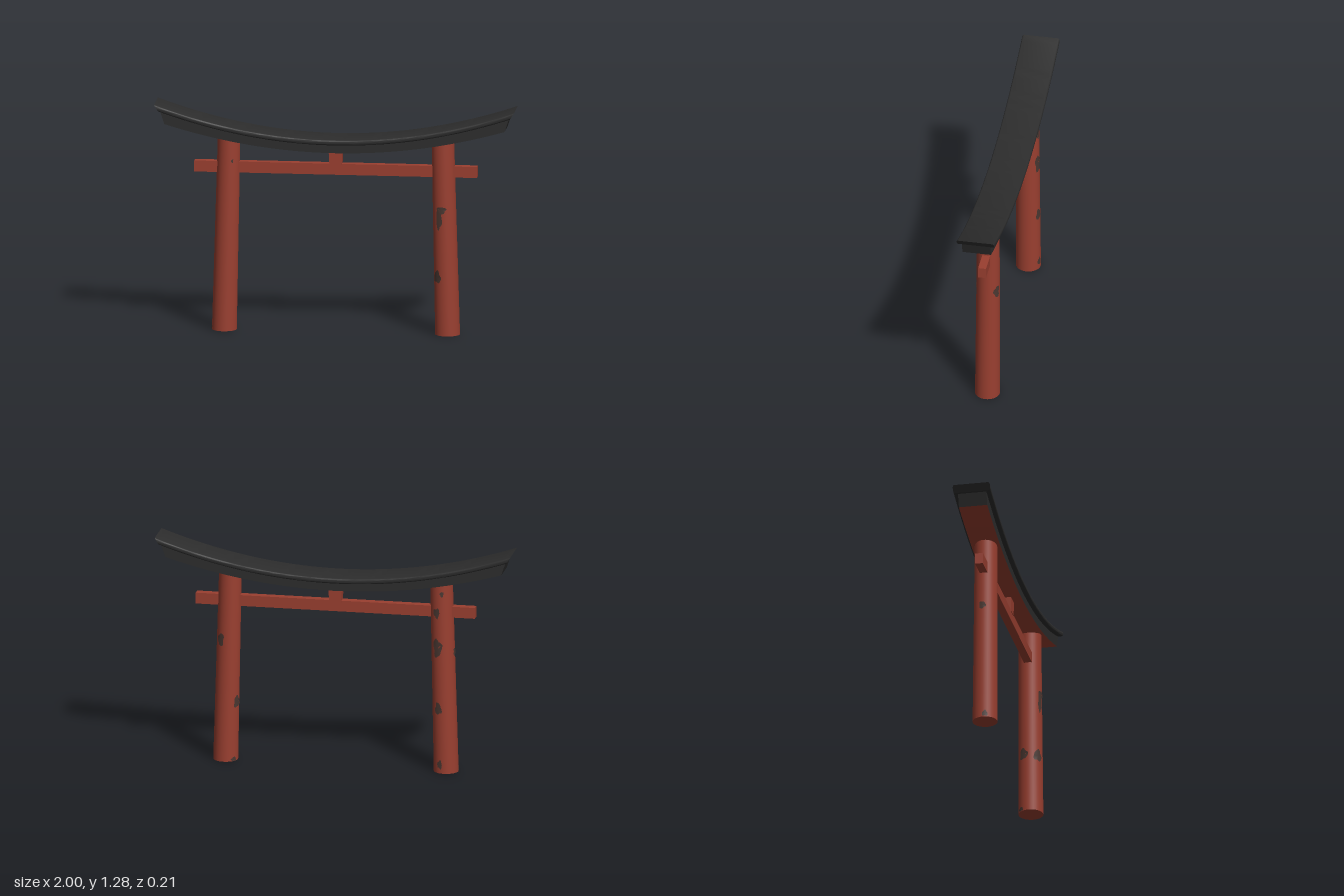
import * as THREE from 'three';
import { toCreasedNormals } from 'three/addons/utils/BufferGeometryUtils.js';

const red = new THREE.MeshStandardMaterial({ color: 0x9a3f30 });
red.name = 'red lacquer';
const black = new THREE.MeshStandardMaterial({ color: 0x2d2d2d });
black.name = 'black roof';
const worn = new THREE.MeshStandardMaterial({ color: 0x4a3832, side: THREE.DoubleSide });
worn.name = 'worn wood';

const RISE = 0.177; // upward sweep of the roof: y = base + RISE * x^2
const PILLAR_TOP = 1.1;
const pillarX = (y) => 0.62 - 0.024 * y;
const pillarR = (y) => 0.069 - 0.006 * y;

function add(parent, name, geometry, material) {
  const mesh = new THREE.Mesh(geometry, material);
  mesh.name = name;
  parent.add(mesh);
  return mesh;
}

// Move every vertex by a rule
function warp(geometry, rule) {
  const p = geometry.attributes.position;
  const v = new THREE.Vector3();
  for (let i = 0; i < p.count; i++) {
    v.fromBufferAttribute(p, i);
    rule(v);
    p.setXYZ(i, v.x, v.y, v.z);
  }
  geometry.computeVertexNormals();
  return geometry;
}

// Rounded slab swept along the curve, its ends leaning outward at the top
function roofCap() {
  const w = 0.105, h = 0.03, r = 0.012;
  const s = new THREE.Shape();
  s.moveTo(-w + r, -h);
  s.lineTo(w - r, -h);
  s.quadraticCurveTo(w, -h, w, -h + r);
  s.lineTo(w, -r);
  s.quadraticCurveTo(w, 0, w - r, 0);
  s.lineTo(-w + r, 0);
  s.quadraticCurveTo(-w, 0, -w, -r);
  s.lineTo(-w, -h + r);
  s.quadraticCurveTo(-w, -h, -w + r, -h);
  const g = new THREE.ExtrudeGeometry(s, { depth: 2, steps: 48, bevelEnabled: false, curveSegments: 5 });
  g.translate(0, 0, -1).rotateY(Math.PI / 2);
  warp(g, (v) => {
    v.x *= 1 + 0.8 * v.y;
    v.y += 1.1 + RISE * v.x * v.x;
  });
  return toCreasedNormals(g, 0.6);
}

// Lintel under the cap, slightly deeper toward its ends
function roofBeam() {
  const g = new THREE.BoxGeometry(2, 1, 0.16, 48, 1, 1);
  return warp(g, (v) => {
    const top = v.y > 0;
    v.x *= top ? 0.97 : 0.945;
    v.y = top ? 1.075 + RISE * v.x * v.x : 1.023 + 0.159 * v.x * v.x;
  });
}

function pillar(side) {
  const g = new THREE.CylinderGeometry(pillarR(PILLAR_TOP), pillarR(0), PILLAR_TOP, 32, 1);
  g.translate(0, PILLAR_TOP / 2, 0);
  const p = g.attributes.position;
  for (let i = 0; i < p.count; i++) p.setX(i, p.getX(i) + side * pillarX(p.getY(i)));
  return g;
}

// Irregular worn spot wrapped onto a pillar; angle runs from +z toward +x
function wornPatch(side, degrees, y, halfWidth, halfHeight, seed) {
  const g = new THREE.CircleGeometry(1, 18);
  return warp(g, (v) => {
    const a = Math.atan2(v.y, v.x);
    const wobble = 1 + 0.16 * Math.sin(3 * a + seed) + 0.1 * Math.sin(5 * a + seed * 2.3);
    const py = Math.max(0.002, y + v.y * wobble * halfHeight);
    const r = pillarR(py) + 0.0015;
    const t = THREE.MathUtils.degToRad(degrees) + (v.x * wobble * halfWidth) / r;
    v.set(side * pillarX(py) + r * Math.sin(t), py, r * Math.cos(t));
  });
}

export function createModel() {
  const model = new THREE.Group();
  model.name = 'gate';

  // Curved roof; the lintel's underside is red
  add(model, 'roofCap', roofCap(), black);
  add(model, 'roofBeam', roofBeam(), [black, black, black, red, black, black]);

  // Inward-leaning pillars
  add(model, 'leftPillar', pillar(1), red);
  add(model, 'rightPillar', pillar(-1), red);

  // Crossbar passing through the pillars
  add(model, 'crossbar', new THREE.BoxGeometry(1.57, 0.062, 0.044), red).position.y = 0.92;

  // Short centre strut, wider at the top
  const strut = warp(new THREE.BoxGeometry(0.068, 0.1, 0.05), (v) => {
    if (v.y > 0) v.x *= 1.15;
  });
  add(model, 'centreStrut', strut, red).position.y = 0.99;

  // Worn spots: side, angle, height, half width, half height
  const patches = [
    [1, -10, 0.71, 0.026, 0.02],
    [1, -24, 0.655, 0.017, 0.055],
    [1, -42, 0.33, 0.026, 0.034],
    [1, 148, 0.7, 0.022, 0.036],
    [1, 90, 1.075, 0.008, 0.016],
    [1, 245, 0.34, 0.026, 0.033],
    [1, 230, 0.012, 0.018, 0.012],
    [-1, 160, 0.92, 0.019, 0.028],
    [-1, 160, 0.72, 0.027, 0.052],
    [-1, 158, 0.37, 0.021, 0.034],
    [-1, 160, 0.05, 0.015, 0.024],
    [-1, 190, 1.03, 0.01, 0.016],
    [-1, 265, 0.69, 0.019, 0.022],
    [-1, 280, 0.02, 0.016, 0.018],
    [-1, 25, 0.96, 0.006, 0.011],
  ];
  const spots = new THREE.Group();
  spots.name = 'wornSpots';
  patches.forEach((p, i) => add(spots, 'wornSpot', wornPatch(...p, i * 1.7), worn));
  model.add(spots);

  return model;
}
